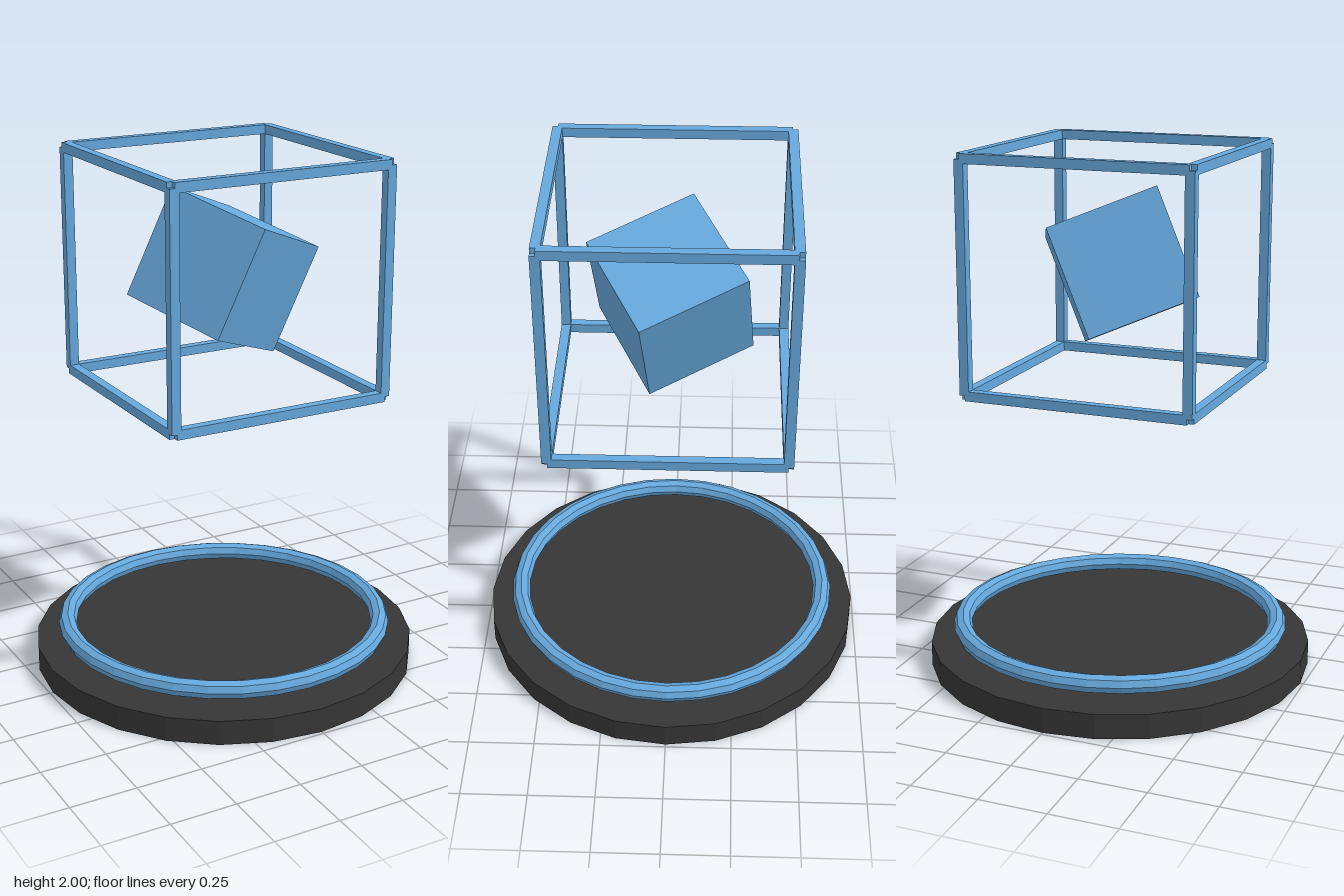
import * as THREE from 'three';

export function createModel() {
  const root = new THREE.Group();
  const blue = new THREE.MeshStandardMaterial({ color: 0x66a8dc, flatShading: true });
  blue.name = 'sky blue';
  const dark = new THREE.MeshStandardMaterial({ color: 0x363636, flatShading: true });
  dark.name = 'charcoal';

  const add = (parent, name, geometry, material, x = 0, y = 0, z = 0) => {
    const mesh = new THREE.Mesh(geometry, material);
    mesh.name = name;
    mesh.position.set(x, y, z);
    parent.add(mesh);
    return mesh;
  };

  // Round base disc
  add(root, 'base', new THREE.CylinderGeometry(0.738, 0.738, 0.095, 24), dark, 0, 0.0475, 0);

  // Ring hovering just above the base
  const ring = add(root, 'ring', new THREE.TorusGeometry(0.615, 0.035, 8, 32), blue, 0, 0.155, 0);
  ring.rotation.x = Math.PI / 2;

  // Open cube frame: four bars along each axis, stopping short of the outer corners
  const frame = new THREE.Group();
  frame.name = 'cubeFrame';
  frame.position.y = 1.553;
  root.add(frame);
  const reach = 0.429, thick = 0.036, length = 0.854;
  for (const a of [-reach, reach]) {
    for (const b of [-reach, reach]) {
      add(frame, 'barX', new THREE.BoxGeometry(length, thick, thick), blue, 0, a, b);
      add(frame, 'barY', new THREE.BoxGeometry(thick, length, thick), blue, a, 0, b);
      add(frame, 'barZ', new THREE.BoxGeometry(thick, thick, length), blue, a, b, 0);
    }
  }

  // Tilted solid cube floating inside the frame
  const core = add(root, 'innerCube', new THREE.BoxGeometry(0.426, 0.426, 0.426), blue, 0, 1.555, 0);
  core.rotation.set(0.27, 0.42, -0.467);

  return root;
}
